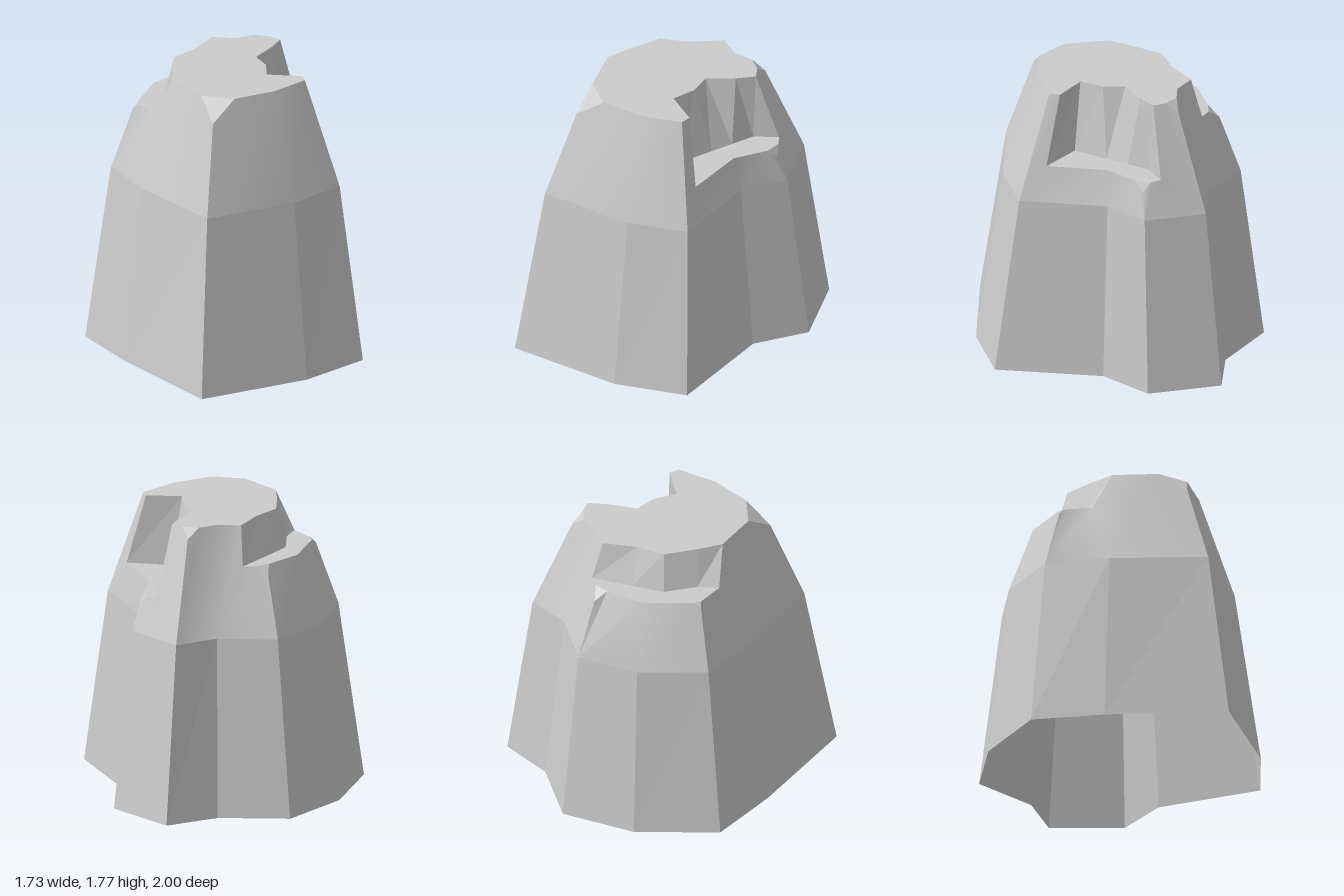
import * as THREE from 'three';
import { toCreasedNormals } from 'three/addons/utils/BufferGeometryUtils.js';

const TOP = 1.77, LEDGE_L = 1.53, LEDGE_R = 1.33, SHOULDER = 1.11;
const at = (pts, y) => pts.map(([x, z]) => [x, y, z]);

// Builds a geometry from a list of triangles, each of three [x, y, z] points
function fromTriangles(tris) {
  const g = new THREE.BufferGeometry();
  g.setAttribute('position', new THREE.Float32BufferAttribute(tris.flat(2), 3));
  g.computeVertexNormals();
  return g;
}

// Strip of quads between a lower and an upper line of points
function strip(lower, upper) {
  const tris = [];
  for (let i = 0; i < lower.length - 1; i++) {
    tris.push([lower[i], upper[i], lower[i + 1]], [lower[i + 1], upper[i], upper[i + 1]]);
  }
  return fromTriangles(tris);
}

// Flat horizontal plate facing up
function plate(outline, y) {
  const pts = outline.map(([x, z]) => new THREE.Vector2(x, z));
  const corners = at(outline, y);
  const tris = THREE.ShapeUtils.triangulateShape(pts, []).map(([a, b, c]) => {
    const turn = pts[b].clone().sub(pts[a]).cross(pts[c].clone().sub(pts[a]));
    return (turn > 0 ? [a, c, b] : [a, b, c]).map((i) => corners[i]);
  });
  return fromTriangles(tris);
}

export function createModel() {
  const group = new THREE.Group();
  const flat = new THREE.MeshStandardMaterial({ color: 0xcccccc, flatShading: true, side: THREE.DoubleSide });
  const smooth = new THREE.MeshStandardMaterial({ color: 0xcccccc, side: THREE.DoubleSide });
  const add = (name, geometry, material = flat) => {
    const mesh = new THREE.Mesh(geometry, material);
    mesh.name = name;
    group.add(mesh);
  };

  // Rock outlines at the ground and the shoulder, from the back round by the left side
  const base = at([[0.2, -1], [0.56, -0.71], [0.535, -0.35], [0.865, 0.23], [0.58, 0.59], [0, 1],
    [-0.56, 0.49], [-0.865, 0.15], [-0.78, -0.37], [-0.53, -0.77], [-0.09, -0.81]], 0);
  const shoulder = at([[0.16, -0.85], [0.46, -0.61], [0.44, -0.31], [0.71, 0.16], [0.48, 0.46], [0, 0.8],
    [-0.46, 0.41], [-0.715, 0.1], [-0.65, -0.33], [-0.44, -0.66], [-0.07, -0.69]], SHOULDER);
  add('lowerRock', strip([...base, base[0]], [...shoulder, shoulder[0]]));

  // Rim points reached from each shoulder corner
  const rim = [
    [[0.06, TOP, -0.55], [0.12, 1.71, -0.61], [0.16, TOP, -0.54], [0.23, TOP, -0.5], [0.31, LEDGE_R, -0.62]],
    [[0.37, LEDGE_R, -0.59], [0.42, 1.27, -0.56], [0.41, LEDGE_R, -0.5]],
    [[0.4, LEDGE_R, -0.28]],
    [[0.58, LEDGE_R, 0.05], [0.46, TOP, 0.04], [0.485, TOP, 0.1]],
    [[0.33, TOP, 0.3]],
    [[0.11, TOP, 0.46], [0, 1.65, 0.59], [-0.1, TOP, 0.44]],
    [[-0.31, TOP, 0.25], [-0.43, LEDGE_L, 0.21]],
    [[-0.55, LEDGE_L, 0.08], [-0.58, 1.5, 0.075], [-0.56, LEDGE_L, 0.03]],
    [[-0.51, LEDGE_L, -0.27]],
    [[-0.36, LEDGE_L, -0.47], [-0.37, 1.47, -0.55], [-0.29, LEDGE_L, -0.53]],
    [[-0.21, LEDGE_L, -0.54], [-0.19, TOP, -0.47], [-0.04, TOP, -0.48]],
  ];
  const upper = [];
  shoulder.forEach((corner, i) => {
    const fan = rim[i], j = (i + 1) % rim.length, last = fan[fan.length - 1];
    for (let k = 0; k < fan.length - 1; k++) upper.push([corner, fan[k], fan[k + 1]]);
    upper.push([corner, last, shoulder[j]], [shoulder[j], last, rim[j][0]]);
  });
  add('upperRock', toCreasedNormals(fromTriangles(upper), 0.6), smooth);

  // Small chips cut from the sharp corners
  const chips = [0, 1, 5, 7, 9].map((i) => [rim[i][1], rim[i][0], rim[i][2]]);
  add('cornerChips', fromTriangles(chips));

  // Walls of the left notch and the right ledge: top edge and foot
  const leftTop = [[0.23, -0.5], [0.2, -0.38], [0.13, -0.21], [0.21, -0.1], [0.24, 0.05], [0.46, 0.04]];
  const leftFoot = [[0.31, -0.62], [0.24, -0.48], [0.26, -0.33], [0.28, -0.18], [0.31, 0.04], [0.58, 0.05]];
  const rightTop = [[-0.31, 0.25], [-0.34, 0.085], [-0.36, -0.12], [-0.26, -0.27], [-0.19, -0.47]];
  const rightFoot = [[-0.43, 0.21], [-0.4, 0.08], [-0.42, -0.13], [-0.33, -0.31], [-0.21, -0.54]];
  add('leftNotchWall', strip(at(leftFoot, LEDGE_R), at(leftTop, TOP)));
  add('rightLedgeWall', strip(at(rightFoot, LEDGE_L), at(rightTop, TOP)));

  // Level ledges
  add('leftNotchFloor', plate([...leftFoot, [0.4, -0.28], [0.41, -0.5], [0.37, -0.59]], LEDGE_R));
  add('rightLedgeFloor', plate([...rightFoot, [-0.29, -0.53], [-0.36, -0.47], [-0.51, -0.27],
    [-0.56, 0.03], [-0.55, 0.08]], LEDGE_L));

  // Level summit
  add('summit', plate([[0.06, -0.55], [0.16, -0.54], ...leftTop, [0.485, 0.1], [0.33, 0.3],
    [0.11, 0.46], [-0.1, 0.44], ...rightTop, [-0.04, -0.48]], TOP));

  return group;
}
